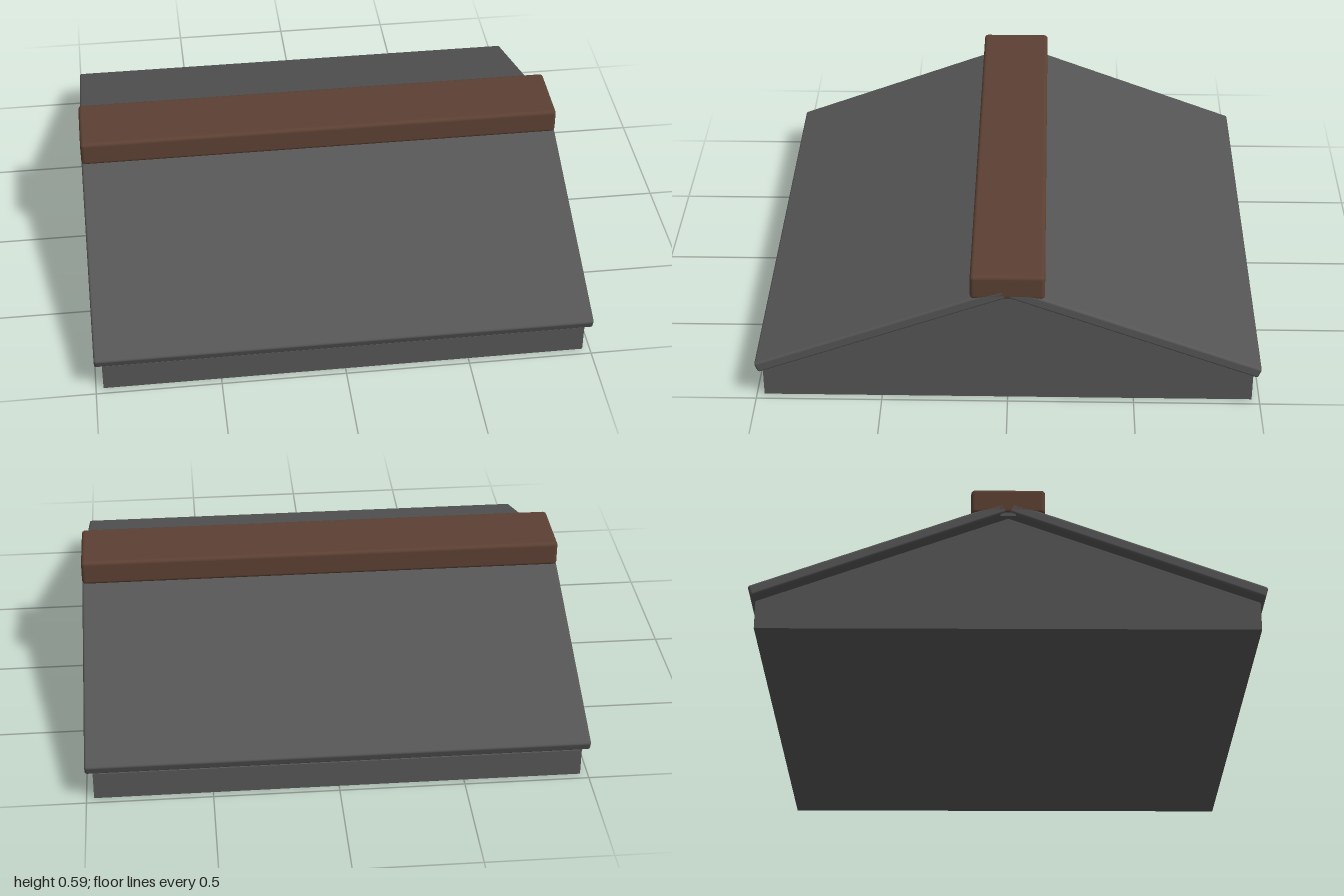
import * as THREE from 'three';
import { RoundedBoxGeometry } from 'three/addons/geometries/RoundedBoxGeometry.js';

const PITCH = 0.36;

export function createModel() {
  const group = new THREE.Group();
  const slate = new THREE.MeshStandardMaterial({ name: 'slate grey', color: 0x555555 });
  const wood = new THREE.MeshStandardMaterial({ name: 'dark brown wood', color: 0x5c4033 });

  const add = (name, geometry, material, y = 0, z = 0) => {
    const mesh = new THREE.Mesh(geometry, material);
    mesh.name = name;
    mesh.position.set(0, y, z);
    group.add(mesh);
    return mesh;
  };

  // Gabled body: a five-sided profile run along x
  const gable = new THREE.Shape([
    [-0.97, 0], [0.97, 0], [0.97, 0.115], [0, 0.48], [-0.97, 0.115],
  ].map(([z, y]) => new THREE.Vector2(z, y)));
  const body = new THREE.ExtrudeGeometry(gable, { depth: 1.94, bevelEnabled: false });
  body.translate(0, 0, -0.97).rotateY(Math.PI / 2);
  add('gableBody', body, slate);

  // Sloping roof panels, floating just above the body
  for (const side of [1, -1]) {
    const panel = new RoundedBoxGeometry(2, 0.045, 1.052, 3, 0.01);
    const mesh = add(side > 0 ? 'frontRoofPanel' : 'backRoofPanel', panel, slate, 0.332, side * 0.501);
    mesh.rotation.x = side * PITCH;
  }

  // Ridge cap and the narrow strip closing the joint beneath it
  add('ridgeCap', new RoundedBoxGeometry(2, 0.105, 0.29, 3, 0.015), wood, 0.5425);
  add('ridgeStrip', new THREE.BoxGeometry(1.99, 0.025, 0.06), slate, 0.491);

  return group;
}
